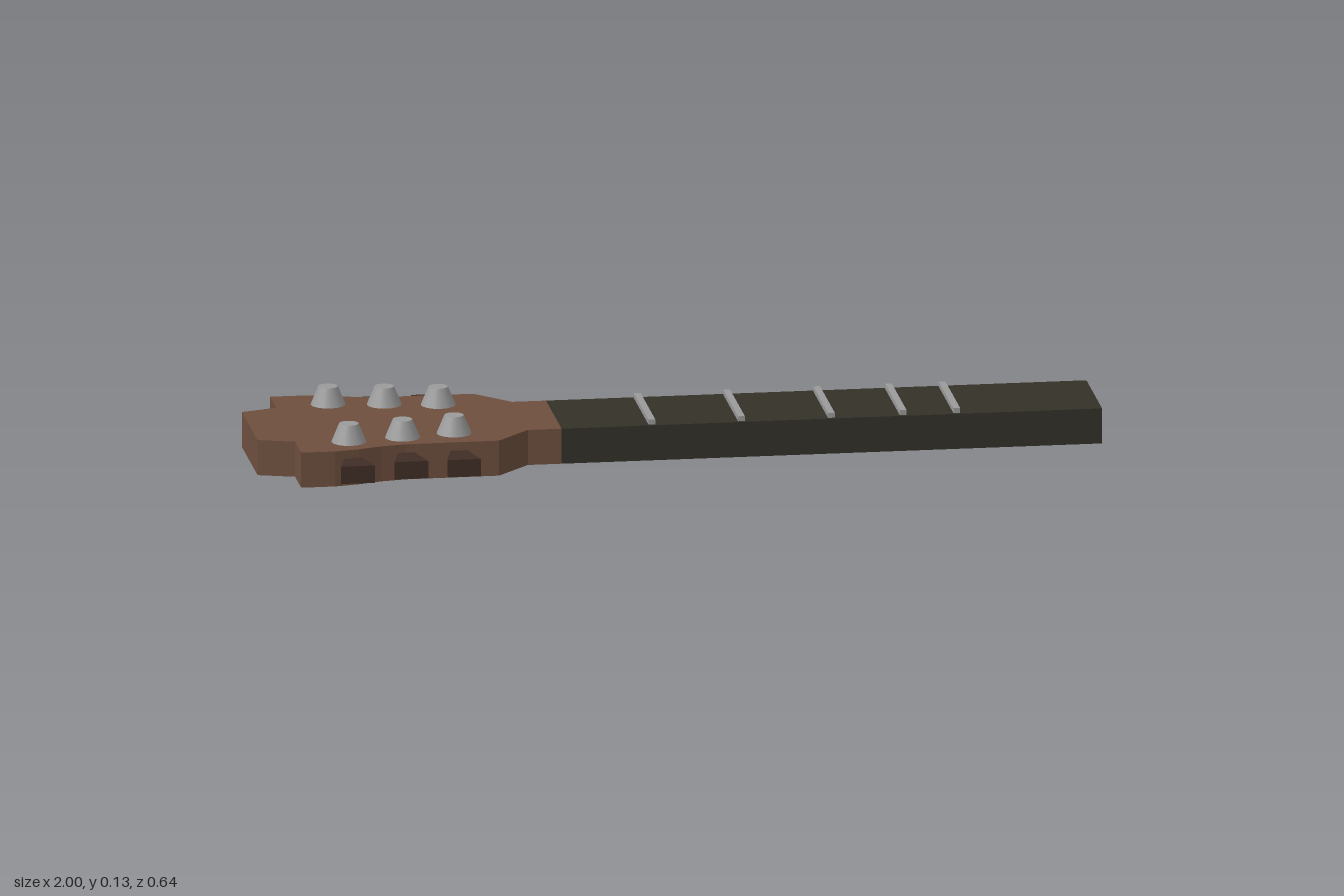
import * as THREE from 'three';

const mat = (color) => new THREE.MeshStandardMaterial({ color, flatShading: true });
const H = 0.085; // thickness of neck and headstock

// Extrude an outline drawn in (x, z) upwards from y0 to y1
function slab(points, y0, y1, material, name) {
  const shape = new THREE.Shape(points.map(([x, z]) => new THREE.Vector2(x, -z)));
  const geo = new THREE.ExtrudeGeometry(shape, { depth: y1 - y0, bevelEnabled: false });
  geo.rotateX(-Math.PI / 2).translate(0, y0, 0);
  const mesh = new THREE.Mesh(geo, material);
  mesh.name = name;
  return mesh;
}

function box(w, h, d, x, y, material, name) {
  const mesh = new THREE.Mesh(new THREE.BoxGeometry(w, h, d), material);
  mesh.position.set(x, y, 0);
  mesh.name = name;
  return mesh;
}

export function createModel() {
  const model = new THREE.Group();
  model.name = 'guitarNeck';
  const wood = mat(0x6e4f3e), dark = mat(0x343128), pegWood = mat(0x402e27);
  const metal = mat(0x9a9a9a);
  const post = new THREE.MeshStandardMaterial({ color: 0x9a9a9a });

  // Headstock: half outline mirrored across z = 0
  const half = [
    [-1, 0.128], [-0.915, 0.155], [-0.915, 0.255], [-0.835, 0.255], [-0.775, 0.243],
    [-0.72, 0.225], [-0.66, 0.215], [-0.44, 0.213], [-0.36, 0.128], [-0.28, 0.128],
  ];
  const outline = [...half, ...half.map(([x, z]) => [x, -z]).reverse()];
  model.add(slab(outline, 0, H, wood, 'headstock'));

  // Neck with raised frets
  model.add(box(1.28, H, 0.256, 0.36, H / 2, dark, 'neck'));
  [-0.065, 0.147, 0.36, 0.53, 0.657].forEach((x) => {
    model.add(box(0.016, 0.016, 0.242, x, 0.089, metal, 'fret'));
  });

  // Tuners: [x, post z, button outer z, button inner z]
  const tuners = [
    [-0.79, 0.17, 0.32, 0.235],
    [-0.66, 0.15, 0.297, 0.205],
    [-0.535, 0.13, 0.297, 0.205],
  ];
  const postGeo = new THREE.CylinderGeometry(0.023, 0.042, 0.046, 16);
  for (const side of [-1, 1]) {
    for (const [x, z, outer, inner] of tuners) {
      const p = new THREE.Mesh(postGeo, post);
      p.name = 'tunerPost';
      p.position.set(x, 0.106, side * z);
      model.add(p);
      const button = [
        [x - 0.018, side * inner], [x - 0.04, side * outer],
        [x + 0.04, side * outer], [x + 0.018, side * inner],
      ];
      model.add(slab(button, 0.023, 0.065, pegWood, 'tunerButton'));
    }
  }
  return model;
}
